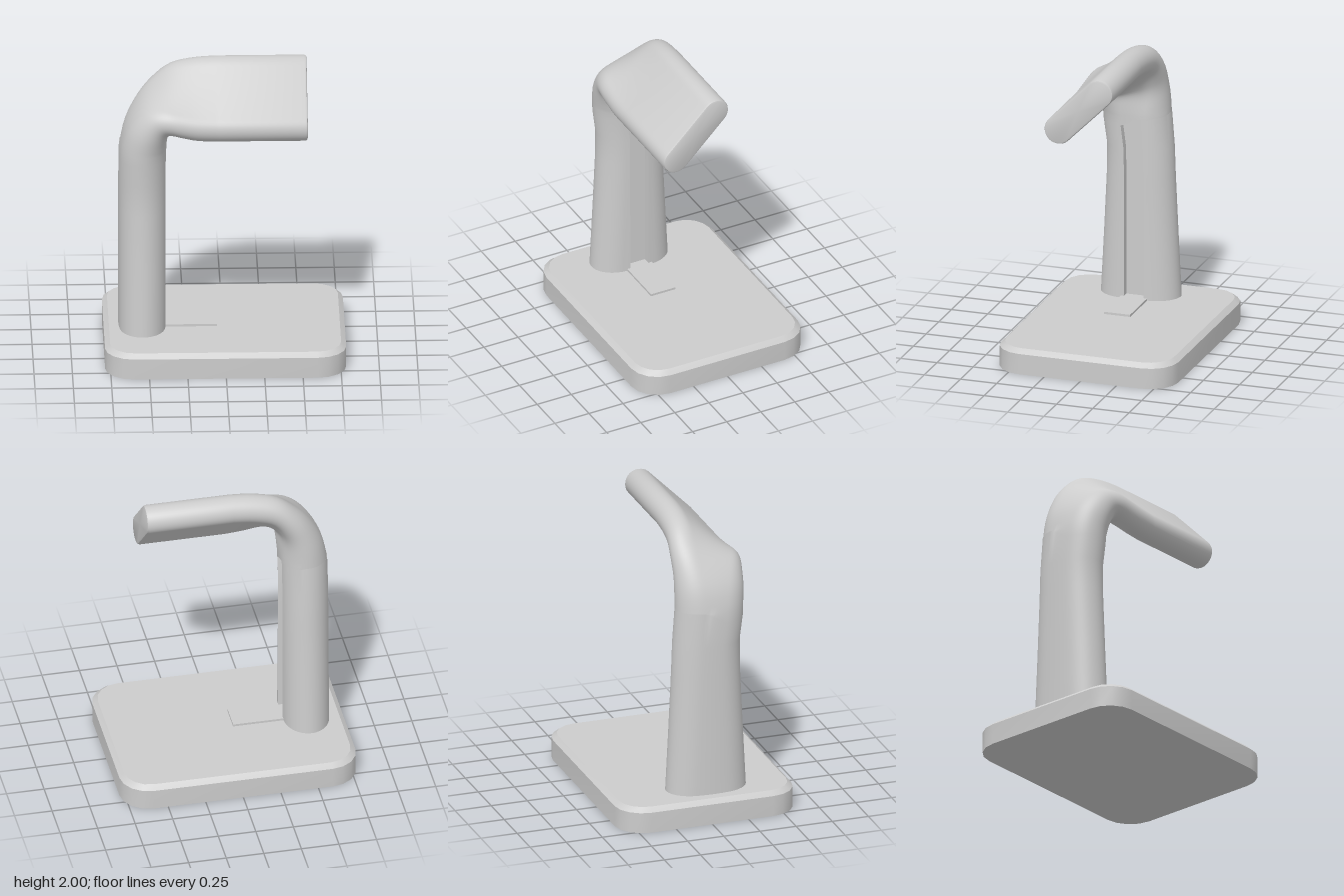
import * as THREE from 'three';
import { toCreasedNormals } from 'three/addons/utils/BufferGeometryUtils.js';

const grey = new THREE.MeshStandardMaterial({ color: 0xcccccc });
grey.name = 'light grey';

// Skin a list of closed rings (counter-clockwise about the path) and cap both ends.
function loft(rings, crease) {
  const pos = [];
  const tri = (a, b, c) => {
    const area = new THREE.Vector3().subVectors(b, a).cross(new THREE.Vector3().subVectors(c, a)).length();
    if (area > 1e-8) for (const p of [a, b, c]) pos.push(p.x, p.y, p.z);
  };
  const n = rings[0].length;
  const middle = (ring) => ring.reduce((s, p) => s.add(p), new THREE.Vector3()).divideScalar(n);
  const first = rings[0], last = rings[rings.length - 1];
  const c0 = middle(first), c1 = middle(last);
  for (let j = 0; j < n; j++) {
    const k = (j + 1) % n;
    for (let i = 0; i < rings.length - 1; i++) {
      const r = rings[i], s = rings[i + 1];
      tri(r[j], r[k], s[k]);
      tri(r[j], s[k], s[j]);
    }
    tri(c0, first[k], first[j]);
    tri(c1, last[j], last[k]);
  }
  const g = new THREE.BufferGeometry();
  g.setAttribute('position', new THREE.Float32BufferAttribute(pos, 3));
  return toCreasedNormals(g, crease);
}

// Rounded rectangle in the ground plane at height y.
function plateRing(hx, hz, r, y) {
  const pts = [];
  const steps = 4;
  [[1, 1], [1, -1], [-1, -1], [-1, 1]].forEach(([sx, sz], q) => {
    for (let i = 0; i <= steps; i++) {
      const t = (q + i / steps) * Math.PI / 2;
      pts.push(new THREE.Vector3(sx * (hx - r) + r * Math.sin(t), y, sz * (hz - r) + r * Math.cos(t)));
    }
  });
  return pts;
}

const GROOVE = 0.067; // half width of the cable groove
const DEG = Math.PI / 180;

// One section of the stand.
// key: x, y, z, bend (deg), roll (deg), half length, half thickness, 0 = ellipse .. 1 = stadium
function standRing([x, y, z, bend, roll, hl, ht, flat], depth = 0, slant = 0) {
  const th = bend * DEG, ph = roll * DEG;
  const inner = new THREE.Vector3(Math.cos(th), -Math.sin(th), 0);
  const side = new THREE.Vector3(0, 0, 1);
  const a = side.clone().multiplyScalar(Math.cos(ph)).addScaledVector(inner, Math.sin(ph));
  const b = inner.clone().multiplyScalar(Math.cos(ph)).addScaledVector(side, -Math.sin(ph));
  const width = (v) => {
    const e = ht * Math.sqrt(Math.max(0, 1 - (v / hl) ** 2));
    const o = Math.max(0, Math.abs(v) - (hl - ht));
    const s = Math.sqrt(Math.max(0, ht * ht - o * o));
    return e + (s - e) * flat;
  };
  const vw = [];
  const add = (deg, sign) => {
    const v = hl * Math.cos(deg * DEG);
    vw.push([v, sign * width(v)]);
  };
  for (let d = 0; d <= 65; d += 5) add(d, 1);
  const g = width(GROOVE);
  vw.push([GROOVE, g], [GROOVE, g - depth], [-GROOVE, g - depth], [-GROOVE, g]);
  for (let d = 115; d <= 180; d += 5) add(d, 1);
  for (let d = 175; d > 0; d -= 5) add(d, -1);
  return vw.map(([v, w]) => {
    const p = new THREE.Vector3(x, y, z).addScaledVector(a, v).addScaledVector(b, w);
    p.y -= slant * THREE.MathUtils.clamp(v, -GROOVE, GROOVE);
    return p;
  });
}

// Smooth interpolation through the section keys.
function smoothKeys(keys, steps) {
  const out = [];
  for (let i = 0; i < keys.length - 1; i++) {
    const p0 = keys[Math.max(0, i - 1)], p1 = keys[i], p2 = keys[i + 1], p3 = keys[Math.min(keys.length - 1, i + 2)];
    for (let s = 1; s <= steps; s++) {
      const t = s / steps;
      out.push(p1.map((v, k) => 0.5 * (2 * v + (p2[k] - p0[k]) * t
        + (2 * p0[k] - 5 * v + 4 * p2[k] - p3[k]) * t * t
        + (3 * v - p0[k] - 3 * p2[k] + p3[k]) * t * t * t)));
    }
  }
  return out;
}

export function createModel() {
  const model = new THREE.Group();
  const add = (name, geometry) => {
    const mesh = new THREE.Mesh(geometry, grey);
    mesh.name = name;
    model.add(mesh);
    return mesh;
  };

  // Base plate with a chamfered top edge
  add('base', loft([
    plateRing(0.785, 0.61, 0.19, 0),
    plateRing(0.785, 0.61, 0.19, 0.14),
    plateRing(0.752, 0.577, 0.165, 0.17),
  ], 0.5));

  // Upright with a cable groove on its inner side
  const post = [
    [-0.535, 0.16, 0.04, 0, 0, 0.272, 0.155, 0.5],
    [-0.535, 0.6, 0.04, 0, 0, 0.249, 0.155, 0.5],
    [-0.535, 1.0, 0.04, 0, 0, 0.23, 0.155, 0.5],
    [-0.535, 1.2, 0.043, 0, 0, 0.226, 0.155, 0.5],
  ];
  const grooveTop = [-0.533, 1.4, 0.063, 0, 0, 0.228, 0.154, 0.5];

  // Bend that rolls the section over into the tilted arm
  const bend = [
    grooveTop,
    [-0.512, 1.53, 0.072, 21, 4, 0.236, 0.143, 0.55],
    [-0.465, 1.645, 0.08, 45, 11, 0.243, 0.122, 0.65],
    [-0.4, 1.71, 0.088, 65, 22, 0.26, 0.11, 0.75],
    [-0.31, 1.752, 0.095, 80, 35, 0.28, 0.1, 0.9],
    [-0.18, 1.762, 0.1, 88, 42, 0.293, 0.096, 1],
    [-0.04, 1.764, 0.1, 90, 45, 0.296, 0.095, 1],
  ];
  const armEnd = [
    [0.522, 1.764, 0.1, 90, 45, 0.296, 0.095, 1],
    [0.534, 1.764, 0.1, 90, 45, 0.291, 0.09, 1],
    [0.538, 1.764, 0.1, 90, 45, 0.281, 0.08, 1],
  ];
  const depth = 0.05, slant = 0.6;
  add('stand', loft([
    ...post.map((k) => standRing(k, depth)),
    standRing(grooveTop, depth, slant),
    standRing(grooveTop, 0, slant),
    ...smoothKeys(bend, 4).map((k) => standRing(k)),
    ...armEnd.map((k) => standRing(k)),
  ], 0.55));

  // Thin cable cover running from the groove onto the base
  const cover = add('cableCover', new THREE.BoxGeometry(0.39, 0.02, 0.18));
  cover.position.set(-0.245, 0.175, 0.038);

  return model;
}
